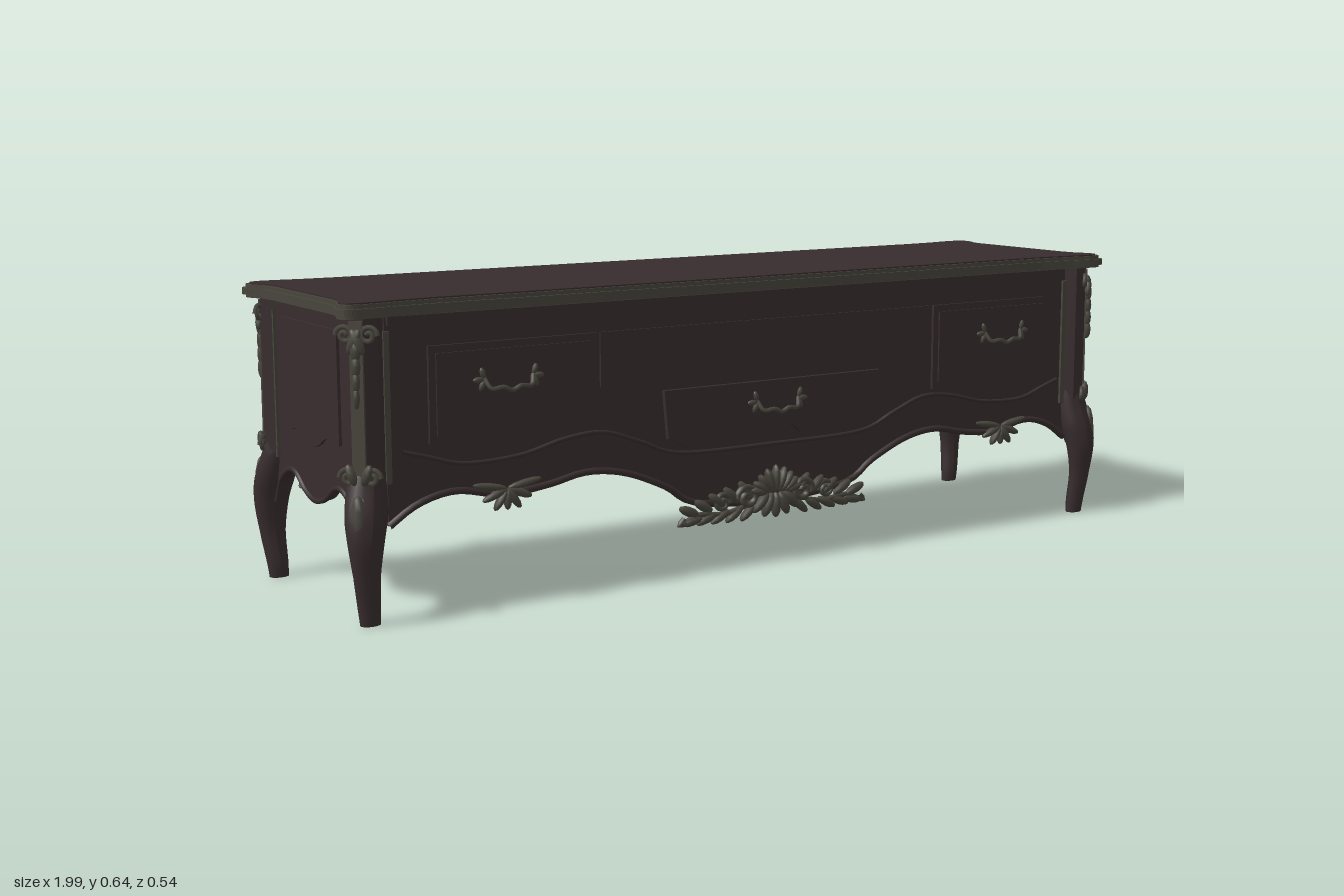
import * as THREE from 'three';

const wood = new THREE.MeshStandardMaterial({ color: 0x382d2e });
wood.name = 'dark wood';
const trim = new THREE.MeshStandardMaterial({ color: 0x48453c });
trim.name = 'bronze olive trim';

const CX = 0.03; // the front decoration sits slightly towards +x
const warp = (x) => x + CX * (1 - x * x);

function add(parent, name, geo, mat, x = 0, y = 0, z = 0) {
  const m = new THREE.Mesh(geo, mat);
  m.name = name;
  m.position.set(x, y, z);
  parent.add(m);
  return m;
}
const box = (p, name, mat, w, h, d, x, y, z) => add(p, name, new THREE.BoxGeometry(w, h, d), mat, x, y, z);

// mirror a half profile (centre outwards) and smooth it, left to right
function wave(half, shift = (x) => x) {
  const left = half.slice(1).reverse().map(([x, y]) => [-x, y]);
  const pts = [...left, ...half].map(([x, y]) => new THREE.Vector2(shift(x), y));
  return new THREE.SplineCurve(pts).getPoints(72);
}
// board with a wavy lower edge
function board(line, top, depth) {
  const a = line[0], b = line[line.length - 1];
  const s = new THREE.Shape([...line, new THREE.Vector2(b.x, top), new THREE.Vector2(a.x, top)]);
  return new THREE.ExtrudeGeometry(s, { depth, bevelEnabled: false });
}
function tube(pts, r, seg = 48) {
  const c = new THREE.CatmullRomCurve3(pts.map((p) => new THREE.Vector3(p[0], p[1], p[2] || 0)));
  return new THREE.TubeGeometry(c, seg, r, 6, false);
}
const edgeTube = (line, r, z) => tube(line.map((p) => [p.x, p.y, z]), r, 90);

// carved leaf: flattened ellipsoid starting at x,y and pointing along angle a (0 = up)
function leaf(p, x, y, z, len, w, a, d = 0.01) {
  const g = new THREE.SphereGeometry(1, 8, 6);
  g.scale(w / 2, len / 2, d);
  g.translate(0, len / 2, 0);
  const m = add(p, 'carvedLeaf', g, trim, x, y, z);
  m.rotation.z = a;
}
// carved scroll: spiral tube, s picks the hand
function scroll(p, x, y, z, r, s, t = 0.005) {
  const pts = [];
  for (let i = 0; i <= 20; i++) {
    const a = i * 0.45, q = r * (1 - i / 25);
    pts.push([s * Math.cos(a) * q, Math.sin(a) * q]);
  }
  add(p, 'carvedScroll', tube(pts, t, 40), trim, x, y, z);
}

// outline of the top with flared corners
function topOutline(inset) {
  const q = [[0.80, 0.25], [0.88, 0.256], [0.94, 0.265], [0.978, 0.265], [0.996, 0.25], [0.994, 0.225], [0.98, 0.195], [0.975, 0.16]];
  const c = new THREE.SplineCurve(q.map((p) => new THREE.Vector2(...p))).getPoints(24)
    .map((p) => new THREE.Vector2(p.x - inset, p.y - inset));
  const r = c.slice().reverse();
  const f = (list, sx, sy) => list.map((p) => new THREE.Vector2(p.x * sx, p.y * sy));
  return new THREE.Shape([...f(r, 1, 1), ...f(c, -1, 1), ...f(r, -1, -1), ...f(c, 1, -1)]);
}
function topLayer(p, name, mat, inset, y, h) {
  const g = new THREE.ExtrudeGeometry(topOutline(inset), { depth: h, bevelEnabled: false });
  g.rotateX(-Math.PI / 2);
  add(p, name, g, mat, 0, y, 0);
}

// cabriole leg: cylinder moved along a curved centre line with changing radii
function legGeometry(sx, sz) {
  const rows = [ // y, x, z, rx, rz
    [0, 0.942, 0.235, 0.021, 0.015], [0.03, 0.944, 0.236, 0.023, 0.018], [0.1, 0.95, 0.243, 0.028, 0.019],
    [0.17, 0.95, 0.243, 0.038, 0.028], [0.22, 0.944, 0.234, 0.044, 0.033], [0.27, 0.936, 0.22, 0.041, 0.034],
    [0.31, 0.93, 0.213, 0.034, 0.033],
  ];
  const mid = new THREE.CatmullRomCurve3(rows.map((r) => new THREE.Vector3(r[1] * sx, r[0], r[2] * sz)));
  const rad = new THREE.CatmullRomCurve3(rows.map((r) => new THREE.Vector3(r[3], 0, r[4])));
  const g = new THREE.CylinderGeometry(1, 1, 1, 14, 24);
  const pos = g.attributes.position;
  for (let i = 0; i < pos.count; i++) {
    const t = pos.getY(i) + 0.5, c = mid.getPoint(t), r = rad.getPoint(t);
    pos.setXYZ(i, c.x + pos.getX(i) * r.x, c.y, c.z + pos.getZ(i) * r.z);
  }
  g.computeVertexNormals();
  return g;
}

// corner post, leg and carving, facing diagonally outwards
function corner(p, sx, sz) {
  const g = new THREE.Group();
  g.name = (sz > 0 ? 'front' : 'back') + (sx > 0 ? 'Left' : 'Right') + 'Corner';
  p.add(g);
  add(g, 'leg', legGeometry(sx, sz), wood);
  const post = new THREE.CylinderGeometry(0.038, 0.038, 0.325, 8).toNonIndexed();
  post.rotateY(Math.PI / 8);
  post.computeVertexNormals();
  add(g, 'post', post, wood, sx * 0.932, 0.4475, sz * 0.213);
  const c = new THREE.Group();
  c.name = 'cornerCarving';
  c.position.set(sx * 0.932, 0, sz * 0.213);
  c.rotation.y = Math.atan2(sx, sz);
  g.add(c);
  box(c, 'postPanel', trim, 0.027, 0.3, 0.006, 0, 0.45, 0.036);
  for (const s of [-1, 1]) {
    scroll(c, s * 0.024, 0.572, 0.034, 0.019, s);
    scroll(c, s * 0.024, 0.295, 0.034, 0.019, s);
    leaf(c, s * 0.008, 0.585, 0.04, 0.055, 0.022, s * 2.7);
    leaf(c, s * 0.008, 0.28, 0.04, 0.045, 0.02, -s * 0.35);
    leaf(c, s * 0.01, 0.26, 0.042, 0.075, 0.026, s * 2.8, 0.014);
    leaf(c, s * 0.012, 0.205, 0.05, 0.07, 0.024, s * 3.05, 0.013);
  }
  for (let i = 0; i < 4; i++) leaf(c, 0, 0.565 - i * 0.03, 0.041, 0.045, 0.022 - i * 0.003, Math.PI);
  leaf(c, 0, 0.265, 0.05, 0.13, 0.036, Math.PI, 0.016);
  // thin moulding bars beside the post
  box(g, 'sideBar', trim, 0.012, 0.3, 0.012, sx * 0.951, 0.425, sz * 0.188);
  for (const y of [0.275, 0.575]) box(g, 'sideBarEnd', trim, 0.012, 0.01, 0.03, sx * 0.951, y, sz * 0.197);
  box(g, 'faceBar', trim, 0.012, 0.3, 0.012, sx * 0.893, 0.425, sz * 0.228);
}

function handle(p, x, y) {
  const g = new THREE.Group();
  g.name = 'handle';
  g.position.set(x, y, 0.238);
  p.add(g);
  add(g, 'bail', tube([[-0.055, 0.012, 0], [-0.045, -0.008, 0.012], [-0.02, -0.006, 0.016], [0, -0.014, 0.016],
    [0.02, -0.006, 0.016], [0.045, -0.008, 0.012], [0.055, 0.012, 0]], 0.005, 32), trim);
  for (const s of [-1, 1]) {
    for (const a of [0.3, 1.6, 2.7]) leaf(g, s * 0.055, 0.01, 0, 0.026, 0.014, -s * a, 0.006);
  }
}

export function createModel() {
  const root = new THREE.Group();
  root.name = 'lowCabinet';

  // top with stepped edge
  topLayer(root, 'topLowerEdge', trim, 0.006, 0.605, 0.006);
  topLayer(root, 'topEdge', trim, 0, 0.611, 0.014);
  topLayer(root, 'topUpperEdge', trim, 0.006, 0.625, 0.008);
  topLayer(root, 'topSurface', wood, 0.012, 0.633, 0.003);

  for (const sx of [-1, 1]) for (const sz of [-1, 1]) corner(root, sx, sz);

  // front board and its mouldings
  const apron = [[0, 0.135], [0.2, 0.152], [0.28, 0.197], [0.38, 0.238], [0.47, 0.25], [0.56, 0.234],
    [0.66, 0.226], [0.76, 0.245], [0.84, 0.228], [0.9, 0.19]];
  const frontLine = wave(apron, warp);
  add(root, 'frontBoard', board(frontLine, 0.607, 0.02), wood, 0, 0, 0.208);
  add(root, 'apronEdge', edgeTube(frontLine, 0.008, 0.228), wood);
  const bead = wave([[0, 0.262], [0.24, 0.266], [0.34, 0.3], [0.43, 0.33], [0.52, 0.325], [0.62, 0.302],
    [0.74, 0.298], [0.82, 0.32], [0.87, 0.335]], warp);
  add(root, 'apronBead', edgeTube(bead, 0.005, 0.229), wood);
  box(root, 'frontTopRail', wood, 1.78, 0.018, 0.012, 0, 0.594, 0.23);

  // drawers
  const drawer = (name, x0, x1, y0, y1) => {
    box(root, name, wood, x1 - x0, y1 - y0, 0.008, (x0 + x1) / 2, (y0 + y1) / 2, 0.231);
    box(root, name + 'Field', wood, x1 - x0 - 0.03, y1 - y0 - 0.03, 0.005, (x0 + x1) / 2, (y0 + y1) / 2, 0.2365);
  };
  drawer('rightDrawer', -0.805, -0.42, 0.345, 0.54);
  drawer('leftDrawer', 0.48, 0.83, 0.345, 0.54);
  box(root, 'middleUpperPanel', wood, 0.885, 0.115, 0.006, CX, 0.4825, 0.23);
  const d = new THREE.Shape();
  d.moveTo(-0.29, 0.405).lineTo(-0.28, 0.3).lineTo(-0.23, 0.277).lineTo(-0.07, 0.277);
  d.quadraticCurveTo(-0.05, 0.31, 0, 0.31).quadraticCurveTo(0.05, 0.31, 0.07, 0.277);
  d.lineTo(0.23, 0.277).lineTo(0.28, 0.3).lineTo(0.29, 0.405);
  add(root, 'middleDrawer', new THREE.ExtrudeGeometry(d, { depth: 0.012, bevelEnabled: false }), wood, CX, 0, 0.227);
  handle(root, -0.63, 0.455);
  handle(root, 0.69, 0.455);
  handle(root, CX + 0.005, 0.35);

  // carved shell and sprays in the middle of the apron
  const carving = new THREE.Group();
  carving.name = 'apronCarving';
  carving.position.set(CX, 0, 0.234);
  root.add(carving);
  for (let i = -4; i <= 4; i++) leaf(carving, i * 0.006, 0.155, 0.006, 0.062 - Math.abs(i) * 0.004, 0.02, -i * 0.33, 0.012);
  for (let i = -2; i <= 2; i++) leaf(carving, i * 0.01, 0.155, 0.006, 0.058, 0.024, Math.PI + i * 0.4, 0.012);
  for (const s of [-1, 1]) {
    scroll(carving, s * 0.075, 0.15, 0.004, 0.028, s, 0.007);
    scroll(carving, s * 0.14, 0.145, 0.002, 0.022, -s, 0.006);
    for (let i = 0; i < 5; i++) {
      leaf(carving, s * (0.06 + i * 0.035), 0.145 - i * 0.005, 0, 0.055, 0.022, -s * (0.7 + i * 0.12));
      leaf(carving, s * (0.05 + i * 0.035), 0.135 - i * 0.004, 0, 0.055, 0.02, -s * (2.3 - i * 0.13));
    }
    add(carving, 'sprayStem', tube([[s * 0.05, 0.14], [s * 0.13, 0.12], [s * 0.2, 0.125], [s * 0.25, 0.108], [s * 0.238, 0.122]], 0.006), trim);
    // small leaf clusters under the outer drawers
    const x = s * 0.665;
    for (let i = -2; i <= 2; i++) leaf(carving, x, 0.238, 0, 0.045 + Math.abs(i) * 0.008, 0.018, Math.PI + i * 0.6);
    for (const k of [-1, 1]) leaf(carving, x, 0.238, 0, 0.08, 0.016, -k * 1.4);
  }

  // back panel with dark stiles
  const backLine = wave(apron.map(([x, y]) => [x, Math.max(y, 0.17)]), warp);
  add(root, 'backPanel', board(backLine, 0.607, 0.02), trim, 0, 0, -0.226);
  add(root, 'backEdge', edgeTube(backLine, 0.008, -0.218), wood);
  for (const s of [-1, 1]) box(root, 'backStile', wood, 0.045, 0.36, 0.008, s * 0.882, 0.425, -0.227);

  // side boards with raised panels
  const sideLine = wave([[0, 0.208], [0.05, 0.22], [0.1, 0.25], [0.14, 0.25], [0.185, 0.22], [0.212, 0.17]]);
  const panelLine = wave([[0, 0.32], [0.035, 0.328], [0.075, 0.347], [0.11, 0.34], [0.14, 0.342]]);
  for (const s of [-1, 1]) {
    const side = new THREE.Group();
    side.name = s > 0 ? 'leftSide' : 'rightSide';
    side.rotation.y = s * Math.PI / 2;
    side.position.x = s * 0.93;
    root.add(side);
    add(side, 'sideBoard', board(sideLine, 0.607, 0.02), wood);
    add(side, 'sideEdge', edgeTube(sideLine, 0.006, 0.02), wood);
    add(side, 'sidePanel', board(panelLine, 0.572, 0.006), wood, 0, 0, 0.02);
    box(side, 'sideTopRail', wood, 0.36, 0.012, 0.01, 0, 0.599, 0.022);
  }
  return root;
}
